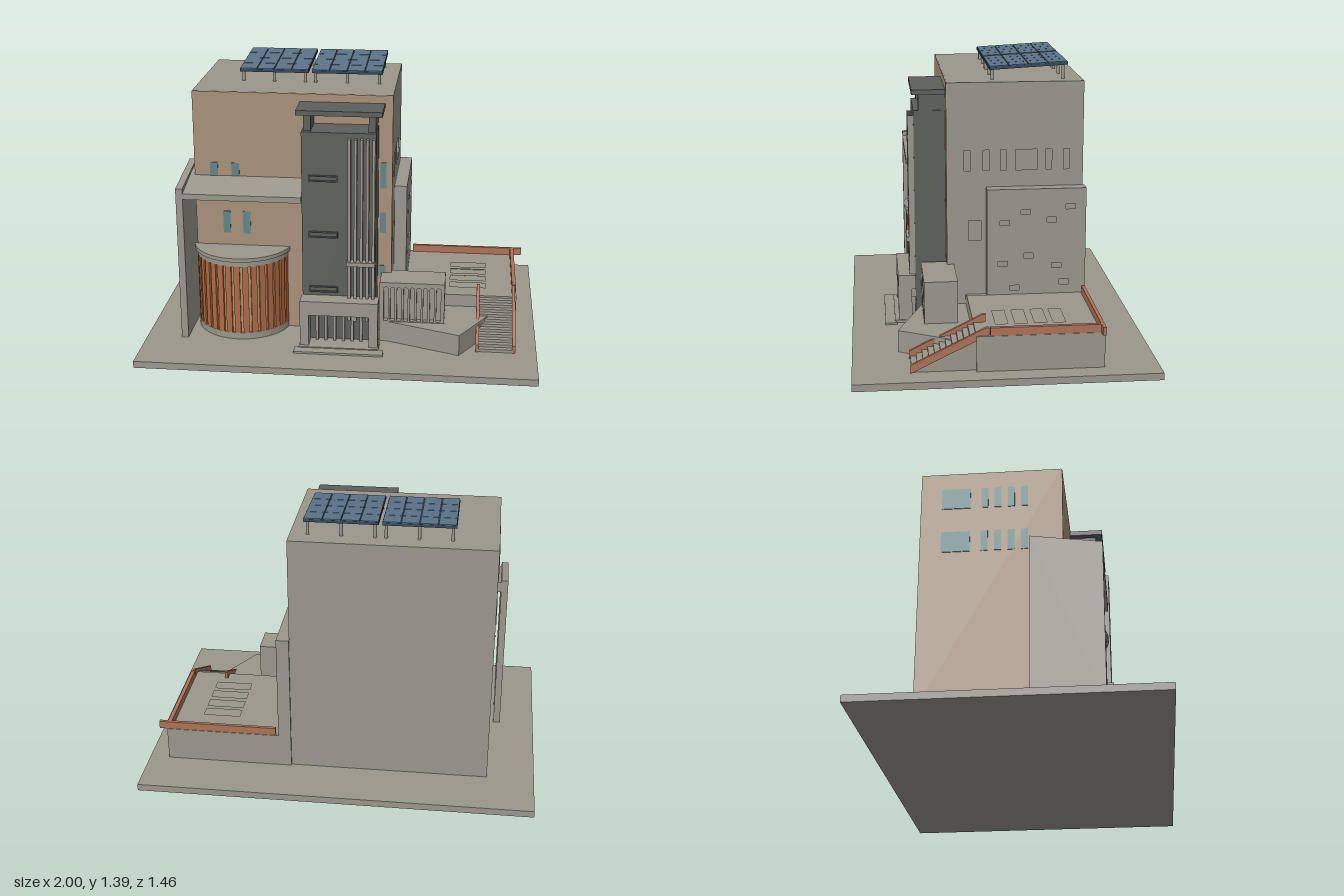
import * as THREE from 'three';

const mat = (name, color) => Object.assign(new THREE.MeshStandardMaterial({ color }), { name });
const concrete = mat('concrete', 0x9b978c);
const brown = mat('brown render', 0xa8917a);
const dark = mat('dark stone', 0x5d605b);
const teal = mat('window glass', 0x5f8688);
const rail = mat('terracotta rail', 0xae7358);
const orange = mat('orange panel', 0xb2693f);
const blue = mat('solar blue', 0x5b7489);
const navy = mat('panel frame', 0x32485c);

export function createModel() {
  const root = new THREE.Group();
  root.name = 'building';

  const add = (name, geo, m, parent = root) => {
    const mesh = new THREE.Mesh(geo, m);
    mesh.name = name;
    parent.add(mesh);
    return mesh;
  };
  const box = (name, m, x0, x1, y0, y1, z0, z1, parent) => {
    const mesh = add(name, new THREE.BoxGeometry(x1 - x0, y1 - y0, z1 - z0), m, parent);
    mesh.position.set((x0 + x1) / 2, (y0 + y1) / 2, (z0 + z1) / 2);
    return mesh;
  };
  const poly = pts => new THREE.Shape(pts.map(p => new THREE.Vector2(p[0], p[1])));
  const rect = (a, b, c, d) => [[a, c], [b, c], [b, d], [a, d]];
  const extrude = (pts, holes, depth) => {
    const s = poly(pts);
    holes.forEach(h => s.holes.push(poly(h)));
    return new THREE.ExtrudeGeometry(s, { depth, bevelEnabled: false, curveSegments: 6 });
  };
  // Outline in (z, y), extruded along x
  const sideShape = (name, m, x0, x1, pts, holes = []) => {
    const flip = l => l.map(([z, y]) => [-z, y]);
    const g = extrude(flip(pts), holes.map(flip), x1 - x0).rotateY(Math.PI / 2);
    return add(name, g.translate(x0, 0, 0), m);
  };
  // Outline in (x, z), extruded upwards
  const planShape = (name, m, y0, y1, pts, holes = []) => {
    const flip = l => l.map(([x, z]) => [x, -z]);
    const g = extrude(flip(pts), holes.map(flip), y1 - y0).rotateX(-Math.PI / 2);
    return add(name, g.translate(0, y0, 0), m);
  };
  const G = 0.035; // ground level

  box('groundSlab', concrete, -1, 1, 0, G, -0.73, 0.73);

  // Main block with rendered front and left-hand sides
  const block = box('mainBlock', concrete, -0.76, 0.235, G, 1.3, -0.455, 0.235);
  block.material = [concrete, brown, concrete, concrete, brown, concrete];
  box('frontWall', brown, -0.76, 0.25, G, 1.299, 0.235, 0.24);
  const sideHoles = [0.135, 0.04, -0.05, -0.28, -0.37].map(z => rect(z - 0.015, z + 0.015, 0.85, 0.955));
  sideHoles.push(rect(-0.22, -0.11, 0.85, 0.955), rect(0.065, 0.13, 0.485, 0.59));
  sideShape('sideWall', concrete, 0.235, 0.25, rect(-0.455, 0.235, G, 1.3), sideHoles);

  // Flat windows
  [[-0.68, -0.64, 0.86, 0.93], [-0.57, -0.53, 0.86, 0.93], [-0.62, -0.583, 0.55, 0.67], [-0.518, -0.478, 0.55, 0.67],
    [0.19, 0.22, 0.82, 0.955], [0.19, 0.22, 0.58, 0.69], [0.19, 0.22, 0.33, 0.4]]
    .forEach(([a, b, c, d]) => box('frontWindow', teal, a, b, c, d, 0.238, 0.243));
  for (const y of [0.86, 1.1]) {
    box('wideSideWindow', teal, -0.764, -0.758, y, y + 0.11, -0.35, -0.21);
    for (const z of [-0.14, -0.075, -0.01, 0.055])
      box('narrowSideWindow', teal, -0.764, -0.758, y, y + 0.11, z - 0.017, z + 0.017);
  }

  // Wing wall with small scattered recesses
  box('wingWall', concrete, 0.25, 0.3, G, 0.765, -0.465, 0.04);
  const slots = [[-0.385, 0.67], [-0.155, 0.645], [-0.29, 0.603], [-0.05, 0.59], [-0.17, 0.415],
    [-0.04, 0.375], [-0.315, 0.36], [-0.355, 0.27], [-0.1, 0.245]];
  sideShape('wingWallFace', concrete, 0.3, 0.315, rect(-0.465, 0.04, G, 0.765),
    slots.map(([z, y]) => rect(z - 0.024, z + 0.024, y - 0.013, y + 0.013)));

  // Stair tower, roof cap and fins
  box('tower', dark, -0.19, 0.18, G, 1.15, 0.24, 0.4);
  box('towerCap', dark, -0.215, 0.21, 1.235, 1.26, 0.235, 0.41);
  for (const x of [-0.163, 0.158]) box('capSupport', dark, x - 0.018, x + 0.018, 1.15, 1.235, 0.24, 0.375);
  for (const y of [0.325, 0.62, 0.915]) {
    const frame = extrude(rect(-0.155, -0.01, y - 0.016, y + 0.016), [rect(-0.149, -0.016, y - 0.01, y + 0.01)], 0.012);
    add('towerSlotFrame', frame.translate(0, 0, 0.398), dark);
  }
  for (let i = 0; i < 5; i++) {
    const x = 0.05 + i * 0.03;
    box('towerFin', concrete, x - 0.007, x + 0.007, 0.165, 1.125, 0.4, 0.43);
  }
  box('finBand', concrete, 0.035, 0.18, 0.468, 0.49, 0.4, 0.443);

  // Entrance porch
  const porch = extrude([[-0.195, G], [-0.15, G], [-0.15, 0.215], [0.155, 0.215], [0.155, G], [0.2, G], [0.2, 0.29], [-0.195, 0.29]], [], 0.07);
  add('porch', porch.translate(0, 0, 0.42), concrete);
  box('porchRoof', concrete, -0.195, 0.2, 0.215, 0.29, 0.4, 0.42);
  for (let i = 0; i < 6; i++) {
    const x = -0.115 + i * 0.045;
    box('porchColumn', concrete, x - 0.007, x + 0.007, G, 0.19, 0.4, 0.425);
  }
  box('porchStep', concrete, -0.2, 0.205, G, 0.05, 0.4, 0.51);
  box('lowerStep', concrete, -0.22, 0.23, G, 0.045, 0.5, 0.56);

  // Round hall against the front wall
  const hall = new THREE.Group();
  hall.name = 'roundHall';
  hall.position.set(-0.525, 0, 0.18);
  root.add(hall);
  const arc = 1.36;
  const drum = (name, m, r, y0, y1) => {
    add(name, new THREE.CylinderGeometry(r, r, y1 - y0, 40, 1, false, -arc, arc * 2), m, hall).position.y = (y0 + y1) / 2;
  };
  drum('hallBase', concrete, 0.245, G, 0.07);
  drum('hallWall', brown, 0.235, 0.07, 0.435);
  drum('hallBand', concrete, 0.245, 0.435, 0.465);
  drum('hallRoof', concrete, 0.257, 0.465, 0.485);
  for (let i = 0; i < 15; i++) {
    const a = (i / 14 - 0.5) * 2.56;
    const p = add('hallPanel', new THREE.BoxGeometry(0.031, 0.365, 0.012), orange, hall);
    p.position.set(Math.sin(a) * 0.238, 0.2525, Math.cos(a) * 0.238);
    p.rotation.y = a;
  }

  // Sloped canopy and its side wall
  sideShape('canopy', concrete, -0.785, -0.19, [[0.43, 0.79], [0.43, 0.82], [0.24, 0.86], [0.24, 0.8]]);
  sideShape('canopyWing', concrete, -0.785, -0.76, [[0.24, 0.8], [0.24, 0.86], [0.085, 0.885], [0.085, 0.83]]);
  sideShape('canopySideWall', concrete, -0.82, -0.785, [[0.085, G], [0.43, G], [0.43, 0.845], [0.085, 0.895]]);

  // Annex with round-ended slots
  box('annex', concrete, 0.2, 0.53, G, 0.36, 0.205, 0.345);
  const face = poly(rect(0.2, 0.53, G, 0.36));
  for (let i = 0; i < 9; i++) {
    const x = 0.232 + i * 0.0335, h = new THREE.Path();
    h.moveTo(x - 0.011, 0.15);
    h.lineTo(x + 0.011, 0.15);
    h.lineTo(x + 0.011, 0.325);
    h.absarc(x, 0.325, 0.011, 0, Math.PI, false);
    face.holes.push(h);
  }
  const faceGeo = new THREE.ExtrudeGeometry(face, { depth: 0.027, bevelEnabled: false, curveSegments: 5 });
  add('annexSlottedFace', faceGeo.translate(0, 0, 0.345), concrete);
  planShape('planter', concrete, G, 0.145, [[0.22, 0.14], [0.755, 0.14], [0.755, 0.25], [0.61, 0.505], [0.22, 0.365]]);

  // Terrace with recessed roof lights
  box('terrace', concrete, 0.25, 0.9, G, 0.195, -0.465, 0.145);
  planShape('terraceTop', concrete, 0.195, 0.21, rect(0.315, 0.9, -0.465, 0.145),
    [-0.27, -0.18, -0.085, 0.01].map(z => rect(0.55, 0.74, z - 0.03, z + 0.03)));
  box('backRail', rail, 0.33, 0.94, 0.21, 0.25, -0.462, -0.445);
  box('sideRail', rail, 0.877, 0.897, 0.21, 0.25, -0.445, 0.08);

  // Stair as one stepped profile, with sloped rails
  const steps = 11, profile = [[0.145, G]];
  for (let i = 0; i < steps; i++) {
    const y = 0.2 - (i / steps) * 0.165, z = 0.145 + (i / steps) * 0.305;
    profile.push([z, y], [z + 0.305 / steps, y]);
  }
  profile.push([0.45, G]);
  sideShape('stair', concrete, 0.708, 0.877, profile);
  for (const x of [0.693, 0.877])
    sideShape('stairRail', rail, x, x + 0.016, [[0.455, G], [0.455, 0.075], [0.1, 0.25], [0.085, 0.25], [0.085, 0.215]]);

  // Tilted solar arrays on posts
  for (const [x0, x1] of [[-0.555, -0.2], [-0.183, 0.18]]) {
    const array = new THREE.Group();
    array.name = 'solarArray';
    array.position.set((x0 + x1) / 2, 1.37, -0.183);
    array.rotation.x = 0.055;
    root.add(array);
    const w = x1 - x0, d = 0.397, cols = 4, rows = 4;
    box('arrayFrame', navy, -w / 2, w / 2, -0.009, 0.005, -d / 2, d / 2, array);
    for (let i = 0; i < cols; i++) for (let j = 0; j < rows; j++) {
      const a = -w / 2 + (i * w) / cols, b = -d / 2 + (j * d) / rows;
      box('solarPanel', blue, a + 0.002, a + w / cols - 0.002, -0.004, 0.009, b + 0.002, b + d / rows - 0.002, array);
    }
    for (const x of [x0 + 0.018, (x0 + x1) / 2, x1 - 0.018]) for (const z of [0, -0.36]) {
      const h = z ? 0.072 : 0.054;
      add('arrayPost', new THREE.CylinderGeometry(0.008, 0.008, h, 10), concrete).position.set(x, 1.3 + h / 2, z);
    }
  }
  return root;
}
